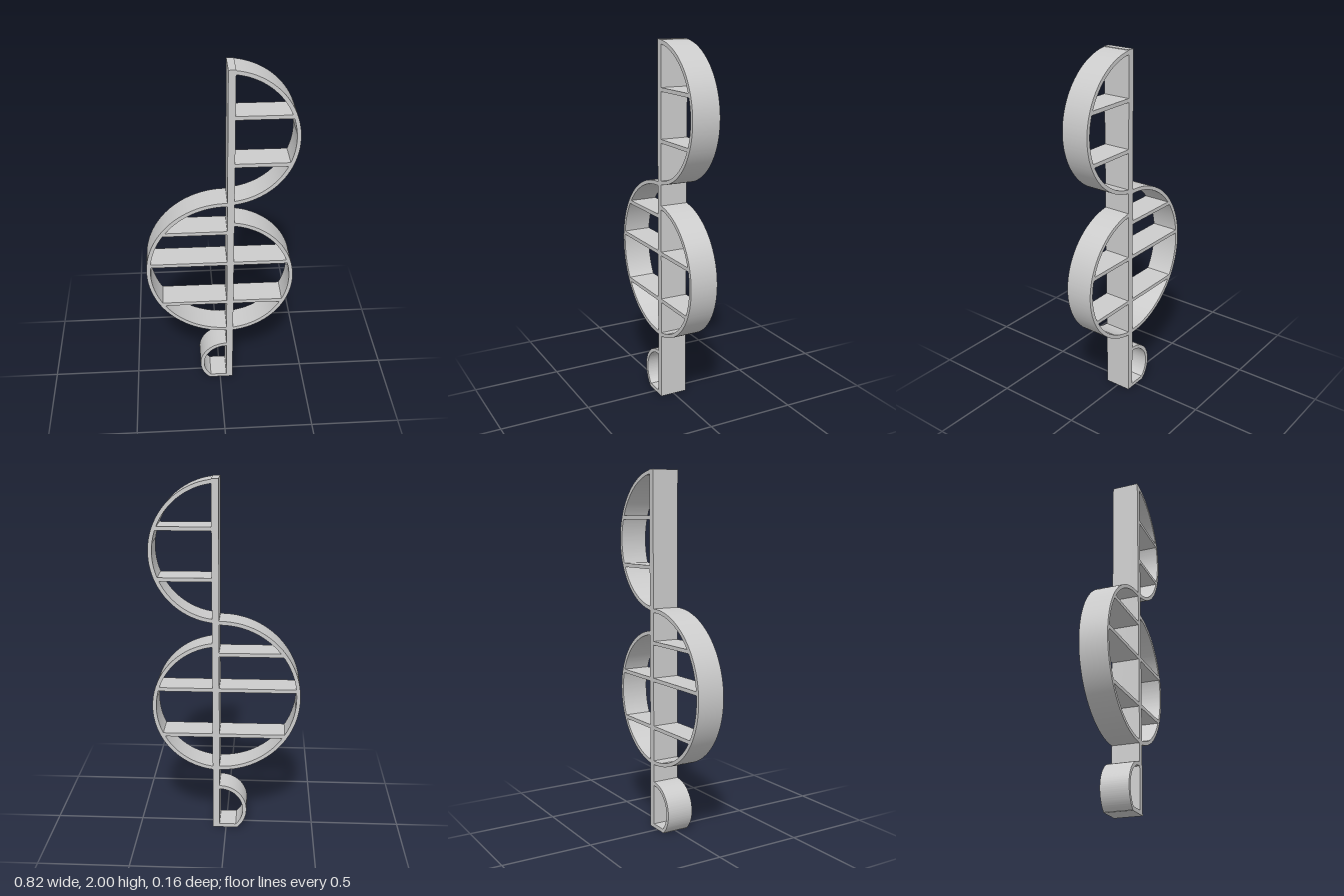
import * as THREE from 'three';
import { toCreasedNormals } from 'three/addons/utils/BufferGeometryUtils.js';

const DEPTH = 0.156, THICK = 0.021;
const POST_LEFT = 0.037, POST_RIGHT = 0.075;

export function createModel() {
  const group = new THREE.Group();
  const material = new THREE.MeshStandardMaterial({ color: 0xcccccc });

  const add = (name, geometry) => {
    const mesh = new THREE.Mesh(geometry, material);
    mesh.name = name;
    group.add(mesh);
    return mesh;
  };

  // Upright board between two x and two y values
  const board = (name, x0, x1, y0, y1) =>
    add(name, new THREE.BoxGeometry(x1 - x0, y1 - y0, DEPTH))
      .position.set((x0 + x1) / 2, (y0 + y1) / 2, 0);

  // Curved band of outer radius r, ending on the post (and on the ground if onGround)
  const band = (name, side, cx, cy, r, onGround = false) => {
    const face = side > 0 ? POST_RIGHT : POST_LEFT;
    const range = (radius) => {
      const a = Math.acos((face - cx) / radius);
      if (side > 0) return [-a, a];
      return [a, onGround ? Math.PI + Math.asin(cy / radius) : 2 * Math.PI - a];
    };
    const [o0, o1] = range(r);
    const [i0, i1] = range(r - THICK);
    const shape = new THREE.Shape();
    shape.absarc(cx, cy, r, o0, o1, false);
    shape.absarc(cx, cy, r - THICK, i1, i0, true);
    shape.closePath();
    const geometry = new THREE.ExtrudeGeometry(shape, { depth: DEPTH, bevelEnabled: false, curveSegments: 64 });
    geometry.translate(0, 0, -DEPTH / 2);
    add(name, toCreasedNormals(geometry, 0.5));
  };

  // Shelf from the post to the middle of a band
  const shelf = (name, side, cx, cy, r, y) => {
    const end = cx + side * Math.sqrt((r - THICK / 2) ** 2 - (y - cy) ** 2);
    const [x0, x1] = side > 0 ? [POST_RIGHT, end] : [end, POST_LEFT];
    board(name, x0, x1, y - THICK / 2, y + THICK / 2);
  };

  board('post', POST_LEFT, POST_RIGHT, 0, 2);

  // Three large bowed frames with their shelves
  const bows = [
    { name: 'upperBow', side: 1, cx: 0.028, cy: 1.62, r: 0.38, shelves: [1.746, 1.477] },
    { name: 'lowerRightBow', side: 1, cx: 0.028, cy: 0.75, r: 0.38, shelves: [0.857, 0.585] },
    { name: 'lowerLeftBow', side: -1, cx: 0.03, cy: 0.813, r: 0.44, shelves: [1.063, 0.857, 0.585] },
  ];
  for (const { name, side, cx, cy, r, shelves } of bows) {
    band(name, side, cx, cy, r);
    shelves.forEach((y, i) => shelf(`${name}Shelf${i + 1}`, side, cx, cy, r, y));
  }

  // Small hook at the foot, cut flat on the ground
  band('footHook', -1, 0.035, 0.117, 0.153, true);
  board('footShelf', -0.066, POST_LEFT, 0, 0.022);

  return group;
}
